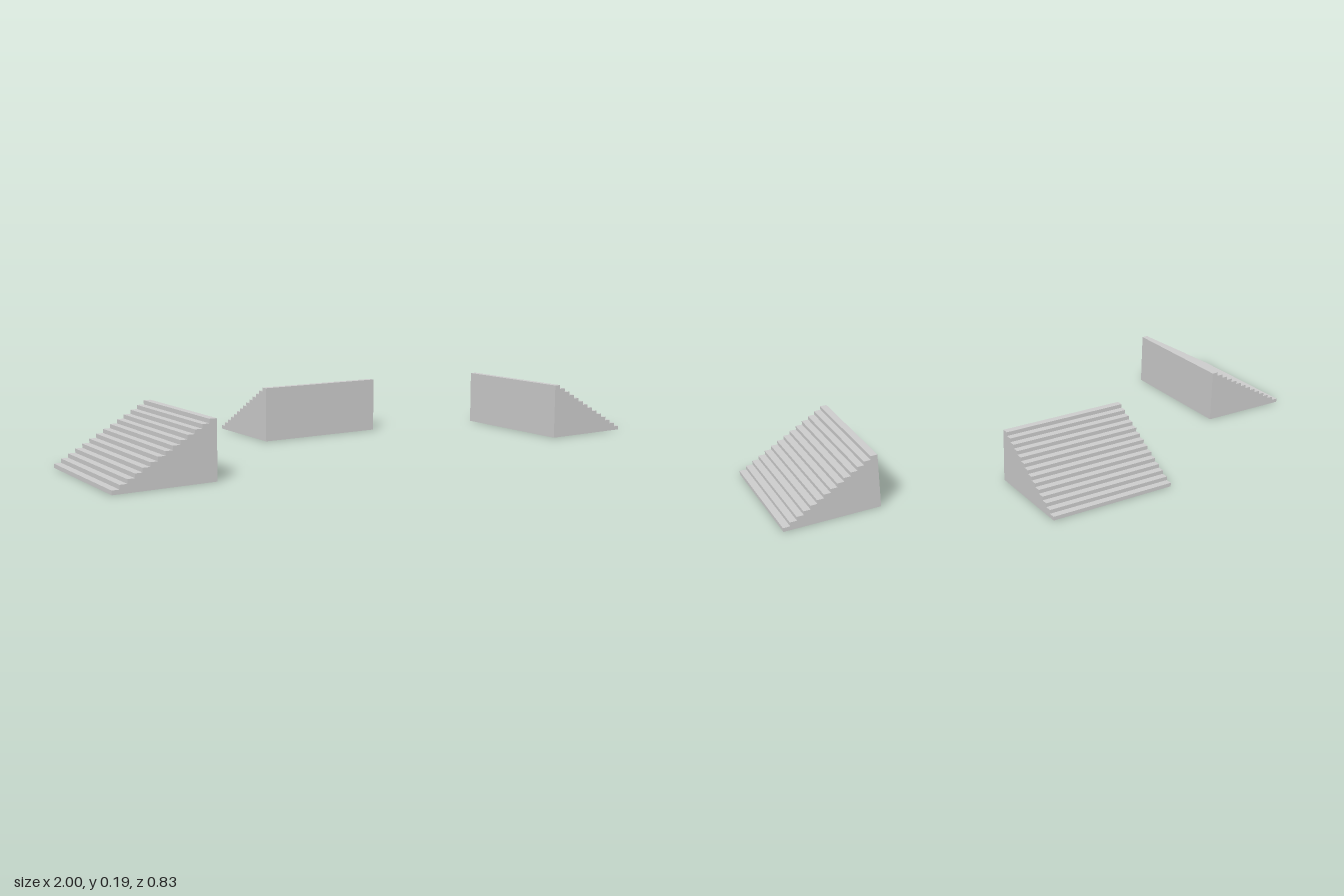
import * as THREE from 'three';

const STEPS = 14;
const RUN = 0.328;
const RISE = 0.187;
const WIDTH = 0.458;

// Solid flight: tall wall at x = 0, steps descending towards +x, width along +z
function flightGeometry() {
  const tread = RUN / STEPS;
  const riser = RISE / STEPS;
  const profile = new THREE.Shape();
  profile.moveTo(0, 0);
  profile.lineTo(RUN, 0);
  for (let i = 0; i < STEPS; i++) {
    const x = RUN - i * tread;
    profile.lineTo(x, (i + 1) * riser);
    profile.lineTo(x - tread, (i + 1) * riser);
  }
  profile.closePath();
  return new THREE.ExtrudeGeometry(profile, { depth: WIDTH, bevelEnabled: false });
}

export function createModel() {
  const model = new THREE.Group();
  model.name = 'stairFlights';
  const material = new THREE.MeshStandardMaterial({ color: 0xcccccc });
  const geometry = flightGeometry();

  // Each flight: name, x, z, turn about the vertical
  const flights = [
    ['leftStairs', 1 - RUN, -0.045, 0],
    ['rightStairs', RUN - 1, 0.413, Math.PI],
    ['backStairs', -0.22, RUN - 0.413, Math.PI / 2],
  ];
  for (const [name, x, z, turn] of flights) {
    const flight = new THREE.Mesh(geometry, material);
    flight.name = name;
    flight.position.set(x, 0, z);
    flight.rotation.y = turn;
    model.add(flight);
  }
  return model;
}
